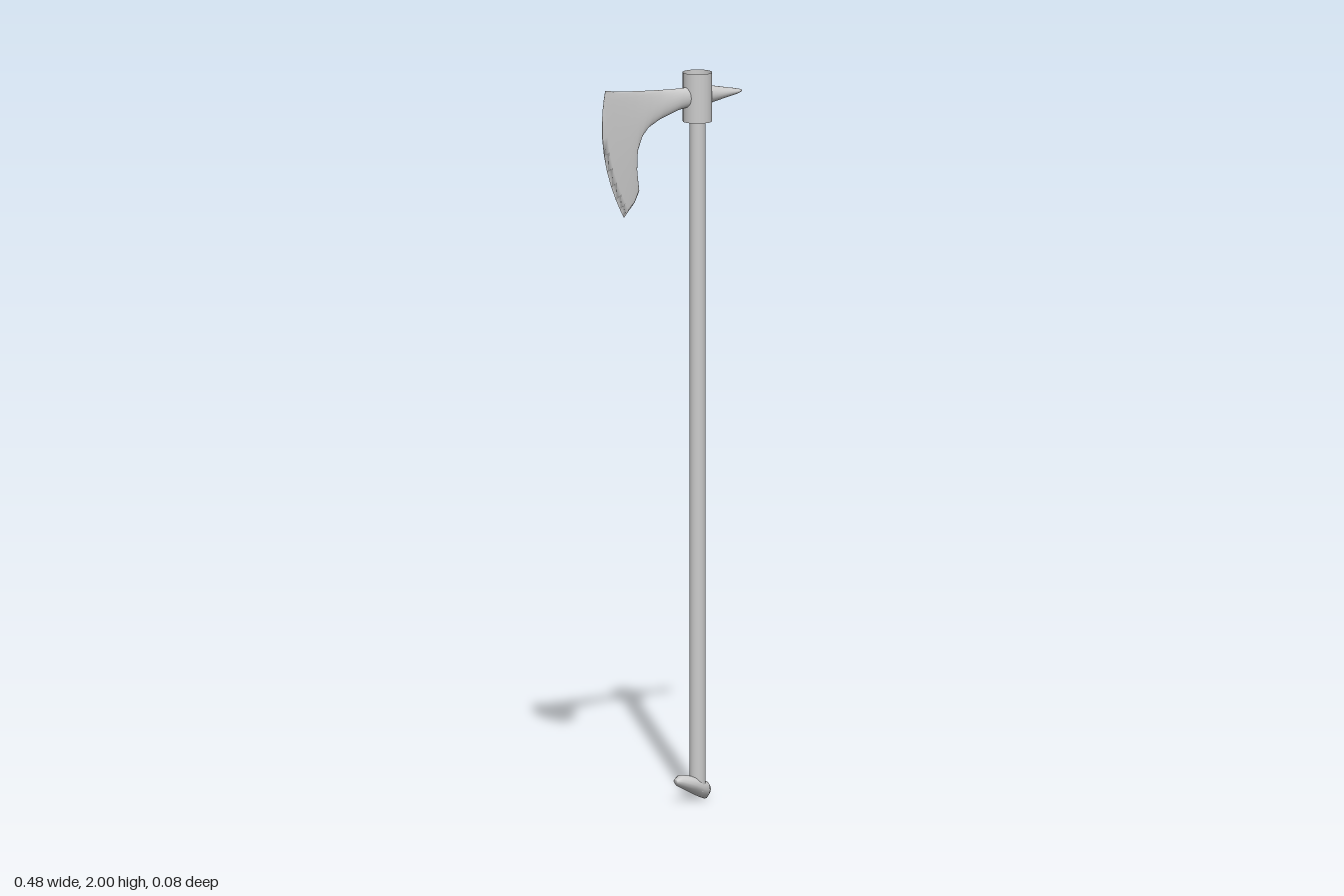
import * as THREE from 'three';

const SHAFT_X = 0.087;

function makeMesh(name, geometry, side = THREE.FrontSide) {
  const mesh = new THREE.Mesh(geometry, new THREE.MeshStandardMaterial({ color: 0xcccccc, side }));
  mesh.name = name;
  return mesh;
}

// Lofts oval rings along x. Each rib: [topX, topY, bottomX, bottomY, bow toward -x, half thickness]
function loft(ribs, sides) {
  const pos = [], index = [];
  for (const [tx, ty, bx, by, bow, half] of ribs) {
    for (let j = 0; j < sides; j++) {
      const a = (j / sides) * Math.PI * 2;
      const t = (1 - Math.cos(a)) / 2;
      pos.push(tx + (bx - tx) * t - bow * 4 * t * (1 - t), ty + (by - ty) * t, half * Math.sin(a));
    }
  }
  const last = (ribs.length - 1) * sides;
  for (let i = 0; i < last; i += sides) {
    for (let j = 0; j < sides; j++) {
      const k = (j + 1) % sides;
      index.push(i + j, i + k, i + sides + j, i + k, i + sides + k, i + sides + j);
    }
  }
  // End caps
  for (let j = 1; j < sides - 1; j++) {
    index.push(0, j + 1, j, last, last + j, last + j + 1);
  }
  const geometry = new THREE.BufferGeometry();
  geometry.setAttribute('position', new THREE.Float32BufferAttribute(pos, 3));
  geometry.setIndex(index);
  geometry.computeVertexNormals();
  return geometry;
}

// Open tube standing on the shaft axis
function tube(name, radius, y0, y1) {
  const geometry = new THREE.CylinderGeometry(radius, radius, y1 - y0, 24, 1, true);
  const mesh = makeMesh(name, geometry, THREE.DoubleSide);
  mesh.position.set(SHAFT_X, (y0 + y1) / 2, 0);
  return mesh;
}

export function createModel() {
  const group = new THREE.Group();
  group.name = 'beardedAxe';

  group.add(tube('shaft', 0.022, 0.025, 1.9));
  group.add(tube('socket', 0.04, 1.865, 2));

  // Bearded blade running through the socket into the back spike
  const headRibs = [
    [-0.232, 1.983, -0.167, 1.627, 0.036, 0.001],
    [-0.22, 1.982, -0.15, 1.645, 0.034, 0.003],
    [-0.2, 1.978, -0.13, 1.665, 0.03, 0.0045],
    [-0.16, 1.974, -0.114, 1.695, 0.024, 0.006],
    [-0.125, 1.971, -0.122, 1.75, 0.012, 0.007],
    [-0.1, 1.969, -0.122, 1.8, 0.005, 0.0075],
    [-0.07, 1.967, -0.108, 1.84, 0, 0.0085],
    [-0.04, 1.965, -0.085, 1.865, 0, 0.0095],
    [-0.01, 1.963, -0.045, 1.884, 0, 0.0115],
    [0.03, 1.962, 0.02, 1.903, 0, 0.0155],
    [0.08, 1.961, 0.08, 1.911, 0, 0.021],
    [0.13, 1.959, 0.13, 1.911, 0, 0.022],
    [0.19, 1.947, 0.19, 1.922, 0, 0.021],
    [0.215, 1.942, 0.215, 1.926, 0, 0.018],
    [0.232, 1.938, 0.232, 1.93, 0, 0.011],
    [0.24, 1.935, 0.24, 1.933, 0, 0.002],
  ];
  group.add(makeMesh('bladeAndSpike', loft(headRibs, 24)));

  // Slanted hooked knob at the foot of the shaft
  const knobRibs = [
    [0.012, 0.064, 0.012, 0.052, 0, 0.009],
    [0.03, 0.074, 0.02, 0.043, 0, 0.02],
    [0.072, 0.066, 0.06, 0.023, 0, 0.028],
    [0.1, 0.055, 0.09, 0.008, 0, 0.023],
    [0.119, 0.047, 0.111, 0, 0, 0.019],
    [0.127, 0.036, 0.124, 0.012, 0, 0.01],
  ];
  group.add(makeMesh('footKnob', loft(knobRibs, 12)));

  return group;
}
